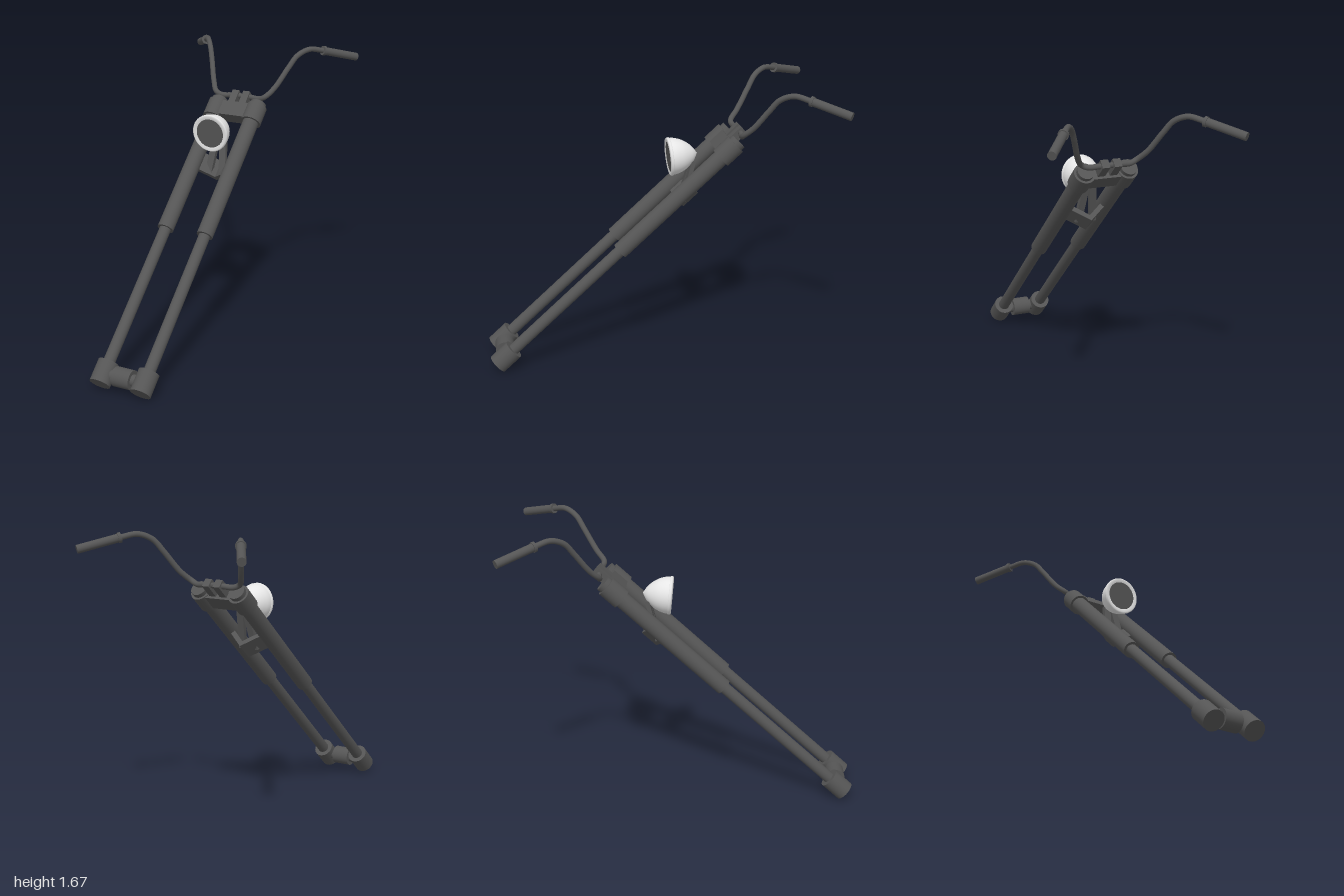
import * as THREE from 'three';

const dark = new THREE.MeshStandardMaterial({ color: 0x555555 });
dark.name = 'dark grey metal';
const pale = new THREE.MeshStandardMaterial({ color: 0xe6e6e6 });
pale.name = 'pale chrome';

function add(parent, name, geometry, material = dark) {
  const mesh = new THREE.Mesh(geometry, material);
  mesh.name = name;
  parent.add(mesh);
  return mesh;
}

// Upright cylinder spanning y0 to y1
function post(parent, name, r, y0, y1, x) {
  const m = add(parent, name, new THREE.CylinderGeometry(r, r, y1 - y0, 32));
  m.position.set(x, (y0 + y1) / 2, 0);
  return m;
}

// Turn and place a mesh so its y axis runs from a to b
function span(mesh, a, b) {
  mesh.position.copy(a).add(b).multiplyScalar(0.5);
  mesh.quaternion.setFromUnitVectors(new THREE.Vector3(0, 1, 0), b.clone().sub(a).normalize());
  return mesh;
}

const V = (x, y, z) => new THREE.Vector3(x, y, z);

function buildFork() {
  // Raked frame: local y runs up the legs, local z faces forward and up
  const fork = new THREE.Group();
  fork.name = 'fork';
  fork.position.set(0, 0.044, 0.96);
  fork.rotation.x = -0.83;

  for (const s of [-1, 1]) {
    const x = s * 0.129;
    post(fork, 'axleHousing', 0.06, 0, 0.13, x);
    post(fork, 'lowerTube', 0.034, 0.1, 1.02, x);
    post(fork, 'upperTube', 0.048, 0.993, 1.925, x);
    post(fork, 'topClamp', 0.061, 1.785, 1.9, x);

    // Handlebar riser
    add(fork, 'riser', new THREE.BoxGeometry(0.045, 0.1, 0.052)).position.set(s * 0.036, 1.938, 0);

    // Headlight bracket arm
    const a = V(s * 0.045, 1.45, -0.07), b = V(s * 0.02, 1.65, 0.06);
    span(add(fork, 'headlightArm', new THREE.BoxGeometry(0.042, a.distanceTo(b), 0.025)), a, b);
  }

  // Upper bridge
  add(fork, 'upperBridge', new THREE.BoxGeometry(0.2, 0.1, 0.08)).position.set(0, 1.845, 0);

  // V-shaped lower bridge
  const v = new THREE.Shape([[-0.1, 0.038], [-0.1, 0.003], [0, 0.08], [0.1, 0.003], [0.1, 0.038], [0, 0.115]]
    .map(([x, y]) => new THREE.Vector2(x, y)));
  const vGeo = new THREE.ExtrudeGeometry(v, { depth: 0.115, bevelEnabled: false });
  vGeo.rotateX(-Math.PI / 2);
  add(fork, 'lowerBridge', vGeo).position.y = 1.425;

  // Axle and hub
  for (const [name, r, w] of [['axle', 0.034, 0.2], ['hub', 0.056, 0.11]]) {
    const m = add(fork, name, new THREE.CylinderGeometry(r, r, w, 32));
    m.rotation.z = Math.PI / 2;
    m.position.y = 0.065;
  }
  return fork;
}

function buildHeadlight() {
  const lamp = new THREE.Group();
  lamp.name = 'headlight';
  lamp.position.set(0, 1.23, -0.08);
  lamp.rotation.x = Math.PI / 2 + 0.09;
  // Bowl
  const bowl = new THREE.SplineCurve([[0, -0.165], [0.045, -0.137], [0.084, -0.09], [0.103, -0.045], [0.108, -0.012]]
    .map(([r, y]) => new THREE.Vector2(r, y)));
  add(lamp, 'headlightBowl', new THREE.LatheGeometry(bowl.getPoints(20), 40), pale);
  // Rim ring
  const rim = [[0.108, -0.014], [0.112, -0.01], [0.112, 0], [0.104, 0.007], [0.084, 0]]
    .map(([r, y]) => new THREE.Vector2(r, y));
  add(lamp, 'headlightRim', new THREE.LatheGeometry(rim, 40), pale);
  // Lens
  add(lamp, 'headlightLens', new THREE.CylinderGeometry(0.086, 0.086, 0.008, 40)).position.y = -0.002;
  return lamp;
}

function buildHandlebar() {
  const bar = new THREE.Group();
  bar.name = 'handlebar';
  const half = [
    [0.06, 1.37, -0.488], [0.125, 1.368, -0.48], [0.165, 1.385, -0.478], [0.207, 1.437, -0.525],
    [0.26, 1.55, -0.6], [0.296, 1.618, -0.648], [0.345, 1.65, -0.715], [0.4, 1.635, -0.79], [0.44, 1.619, -0.843],
  ];
  const points = [
    ...half.map(([x, y, z]) => V(-x, y, z)).reverse(),
    ...half.map(([x, y, z]) => V(x, y, z)),
  ];
  const path = new THREE.CatmullRomCurve3(points);
  add(bar, 'barTube', new THREE.TubeGeometry(path, 140, 0.016, 16));

  // Grips with end collars
  for (const s of [-1, 1]) {
    const a = V(s * 0.4, 1.635, -0.79), b = V(s * 0.545, 1.577, -0.983);
    const grip = add(bar, 'grip', new THREE.CylinderGeometry(0.024, 0.024, a.distanceTo(b), 24));
    span(grip, a, b);
    const c = a.clone().lerp(b, 0.07);
    const collar = add(bar, 'gripCollar', new THREE.CylinderGeometry(0.029, 0.029, a.distanceTo(c), 24));
    span(collar, a, c);
  }
  return bar;
}

export function createModel() {
  const model = new THREE.Group();
  model.name = 'motorcycleFrontFork';
  model.add(buildFork(), buildHeadlight(), buildHandlebar());
  return model;
}
